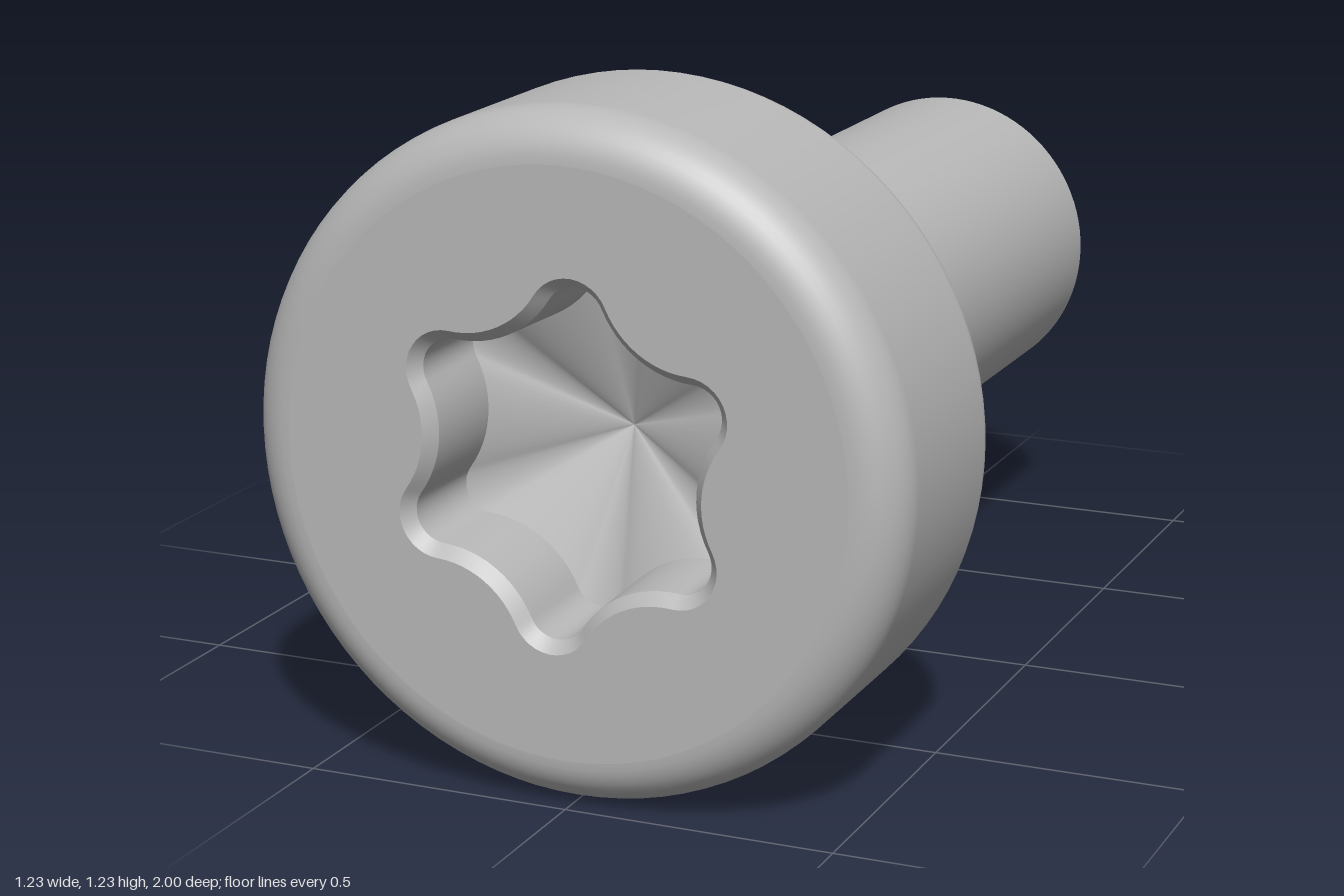
import * as THREE from 'three';

const RAD = Math.PI / 180;
const HEAD_R = 0.615, HEAD_BACK = 0.54, FRONT_FILLET = 0.09, BACK_FILLET = 0.05;
const SHAFT_R = 0.305, TIP_R = 0.215, CHAMFER_Z = -0.905;

// Six-lobed outline made of tangent arcs, shrunk inward by `inset`
function lobedOutline(inset) {
  const lobeC = 0.26, lobeR = 0.075 - inset, valleyC = 0.433, valleyR = 0.17 + inset;
  const vx = valleyC * Math.cos(30 * RAD), vy = valleyC * Math.sin(30 * RAD);
  const phi = Math.atan2(vy, vx - lobeC), steps = 12, points = [];
  const origin = new THREE.Vector2();
  for (let k = 0; k < 6; k++) {
    const turn = (25.5 + 60 * k) * RAD;
    const add = (x, y) => points.push(new THREE.Vector2(x, y).rotateAround(origin, turn));
    for (let i = 0; i < steps; i++) {
      const t = -phi + (2 * phi * i) / steps;
      add(lobeC + lobeR * Math.cos(t), lobeR * Math.sin(t));
    }
    for (let i = 0; i < steps; i++) {
      const t = Math.PI + phi + ((60 * RAD - 2 * phi) * i) / steps;
      add(vx + valleyR * Math.cos(t), vy + valleyR * Math.sin(t));
    }
  }
  return points;
}

// Closed band between a front outline and a deeper one
function band(front, zFront, back, zBack) {
  const n = front.length, positions = [], index = [];
  front.forEach(p => positions.push(p.x, p.y, zFront));
  back.forEach(p => positions.push(p.x, p.y, zBack));
  for (let i = 0; i < n; i++) {
    const j = (i + 1) % n;
    index.push(i, j, n + i, j, n + j, n + i);
  }
  const g = new THREE.BufferGeometry();
  g.setAttribute('position', new THREE.Float32BufferAttribute(positions, 3));
  g.setIndex(index);
  g.computeVertexNormals();
  return g;
}

// Surface of revolution about z from [radius, z] pairs, listed back to front
function revolve(profile) {
  const points = profile.map(([r, z]) => new THREE.Vector2(r, z));
  return new THREE.LatheGeometry(points, 96).rotateX(Math.PI / 2);
}

export function createModel() {
  const steel = new THREE.MeshStandardMaterial({ color: 0xb8b8b8 });
  steel.name = 'steel grey';
  const model = new THREE.Group();
  model.name = 'screw';
  const screw = new THREE.Group();
  screw.name = 'screwBody';
  screw.position.y = HEAD_R;
  model.add(screw);
  const add = (name, geometry) => {
    const mesh = new THREE.Mesh(geometry, steel);
    mesh.name = name;
    screw.add(mesh);
  };

  // Head side with rounded back and front edges
  const rim = [];
  const fillet = (r, z, from) => {
    for (let i = 0; i <= 10; i++) {
      const a = (from + 9 * i) * RAD;
      rim.push([HEAD_R - r + r * Math.cos(a), z + r * Math.sin(a)]);
    }
  };
  fillet(BACK_FILLET, HEAD_BACK + BACK_FILLET, -90);
  fillet(FRONT_FILLET, 1 - FRONT_FILLET, 0);
  add('headRim', revolve(rim));
  add('headBack', revolve([[SHAFT_R, HEAD_BACK], [HEAD_R - BACK_FILLET, HEAD_BACK]]));

  // Front face with the socket opening
  const mouth = lobedOutline(0), throat = lobedOutline(0.02), floor = lobedOutline(0.025);
  const face = new THREE.Shape().absarc(0, 0, HEAD_R - FRONT_FILLET, 0, Math.PI * 2);
  face.holes.push(new THREE.Path(mouth));
  add('headFace', new THREE.ShapeGeometry(face, 48).translate(0, 0, 1));

  // Socket: bevelled mouth, walls and conical floor
  add('socketBevel', band(mouth, 1, throat, 0.975));
  add('socketWall', band(throat, 0.975, floor, 0.8));
  add('socketFloor', band(floor, 0.8, floor.map(() => new THREE.Vector2()), 0.7));

  // Shaft with chamfered tip
  add('shaft', revolve([[SHAFT_R, CHAMFER_Z], [SHAFT_R, HEAD_BACK]]));
  add('tipChamfer', revolve([[TIP_R, -1], [SHAFT_R, CHAMFER_Z]]));
  add('tipEnd', new THREE.CircleGeometry(TIP_R, 96).rotateY(Math.PI).translate(0, 0, -1));

  return model;
}
